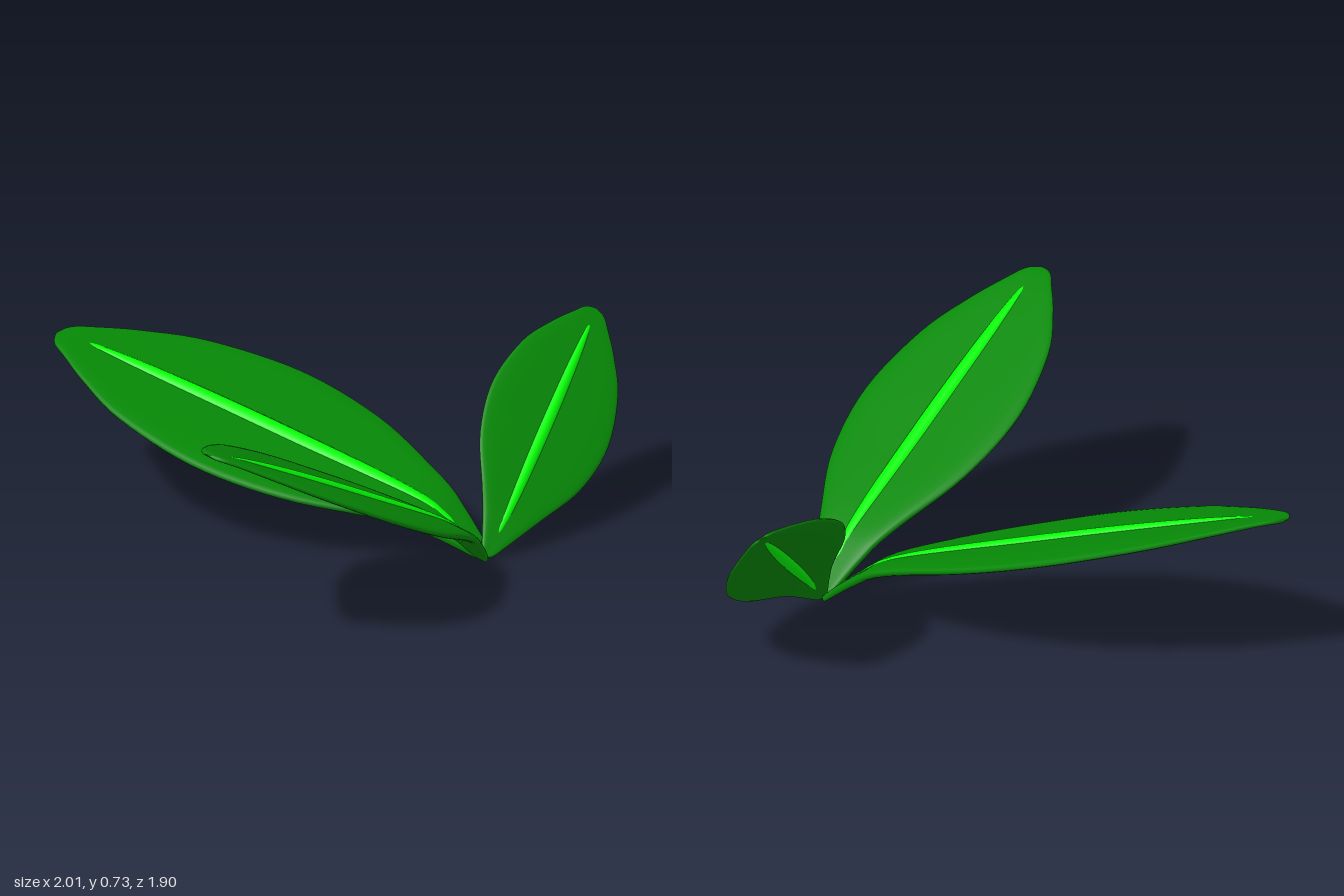
import * as THREE from 'three';
import { mergeVertices } from 'three/addons/utils/BufferGeometryUtils.js';

const V = (x, y, z) => new THREE.Vector3(x, y, z);

// Profile curve through [t, value] pairs, returned as a function of t
function profile(pairs) {
  const pts = new THREE.SplineCurve(pairs.map(p => new THREE.Vector2(...p))).getPoints(200);
  return t => {
    let i = 1;
    while (i < pts.length - 1 && pts[i].x < t) i++;
    const a = pts[i - 1], b = pts[i];
    const k = THREE.MathUtils.clamp((t - a.x) / (b.x - a.x || 1), 0, 1);
    return Math.max(0, a.y + (b.y - a.y) * k);
  };
}

// Proportions relative to the leaf length
const halfWidth = profile([[0, 0], [0.01, 0.02], [0.07, 0.05], [0.2, 0.11], [0.37, 0.184], [0.56, 0.212],
  [0.75, 0.176], [0.87, 0.115], [0.945, 0.064], [0.985, 0.034], [1, 0]]);
const halfThick = profile([[0, 0], [0.02, 0.011], [0.2, 0.016], [0.6, 0.016], [0.95, 0.009], [0.99, 0.006], [1, 0]]);
const archShape = profile([[0, 0], [0.09, 0.68], [0.18, 1], [0.45, 0.74], [0.72, 0.46], [0.93, 0.2], [1, 0]]);

// Closed loft of rounded cross-sections along an arched leaf axis, from t0 to t1;
// groove thins the middle of the section
function loft(leaf, t0, t1, width, thick, power, groove, rows = 48, sides = 36) {
  const { base, axis, side, normal, length, arch } = leaf;
  const pos = [], index = [];
  const soften = v => Math.sign(v) * Math.abs(v) ** power;
  for (let i = 0; i <= rows; i++) {
    const s = (1 - Math.cos(Math.PI * i / rows)) / 2;
    const t = t0 + (t1 - t0) * s;
    const centre = base.clone().addScaledVector(axis, t * length)
      .addScaledVector(normal, arch * archShape(t) * length);
    for (let j = 0; j < sides; j++) {
      const a = j / sides * Math.PI * 2;
      const rise = soften(Math.sin(a)) * (1 - groove * Math.sin(a) ** 2);
      const p = centre.clone()
        .addScaledVector(side, Math.cos(a) * width(s) * length)
        .addScaledVector(normal, rise * thick(s) * length);
      pos.push(p.x, p.y, p.z);
      if (i < rows) {
        const k = i * sides, n = (j + 1) % sides;
        index.push(k + j, k + n, k + sides + j, k + n, k + sides + n, k + sides + j);
      }
    }
  }
  let geo = new THREE.BufferGeometry();
  geo.setAttribute('position', new THREE.Float32BufferAttribute(pos, 3));
  geo.setIndex(index);
  geo = mergeVertices(geo, 1e-5);
  geo.computeVertexNormals();
  return geo;
}

export function createModel() {
  const group = new THREE.Group();
  const green = new THREE.MeshStandardMaterial({ color: 0x068806 });
  const bright = new THREE.MeshStandardMaterial({ color: 0x02ff02 });

  // Base, tip and sideways direction of each leaf
  const leaves = [
    { name: 'backLeaf', base: V(0.27, 0.012, 0.44), tip: V(-0.51, 0.495, -0.95), side: V(-0.884, -0.128, 0.449), arch: 0.046 },
    { name: 'rightLeaf', base: V(0.25, 0.012, 0.46), tip: V(-1, 0.73, 0.765), side: V(0.19, -0.09, 0.98), arch: 0.04 },
    { name: 'leftLeaf', base: V(0.265, 0.015, 0.45), tip: V(0.995, 0.57, -0.045), side: V(-0.713, 0.53, -0.46), arch: 0.03 },
  ];

  for (const leaf of leaves) {
    leaf.axis = leaf.tip.clone().sub(leaf.base);
    leaf.length = leaf.axis.length();
    leaf.axis.normalize();
    leaf.side.addScaledVector(leaf.axis, -leaf.side.dot(leaf.axis)).normalize();
    leaf.normal = leaf.axis.clone().cross(leaf.side);

    // Rounded blade, slightly hollow along the middle
    const blade = new THREE.Mesh(loft(leaf, 0, 1, halfWidth, halfThick, 0.7, 0.35), green);
    blade.name = 'blade';
    // Spindle-shaped midrib standing proud on both faces
    const spindle = r => s => r * Math.sqrt(Math.max(0, 4 * s * (1 - s)));
    const rib = new THREE.Mesh(loft(leaf, 0.03, 0.95, spindle(0.023), spindle(0.02), 1, 0, 32, 16), bright);
    rib.name = 'midrib';

    const part = new THREE.Group();
    part.name = leaf.name;
    part.add(blade, rib);
    group.add(part);
  }
  return group;
}
